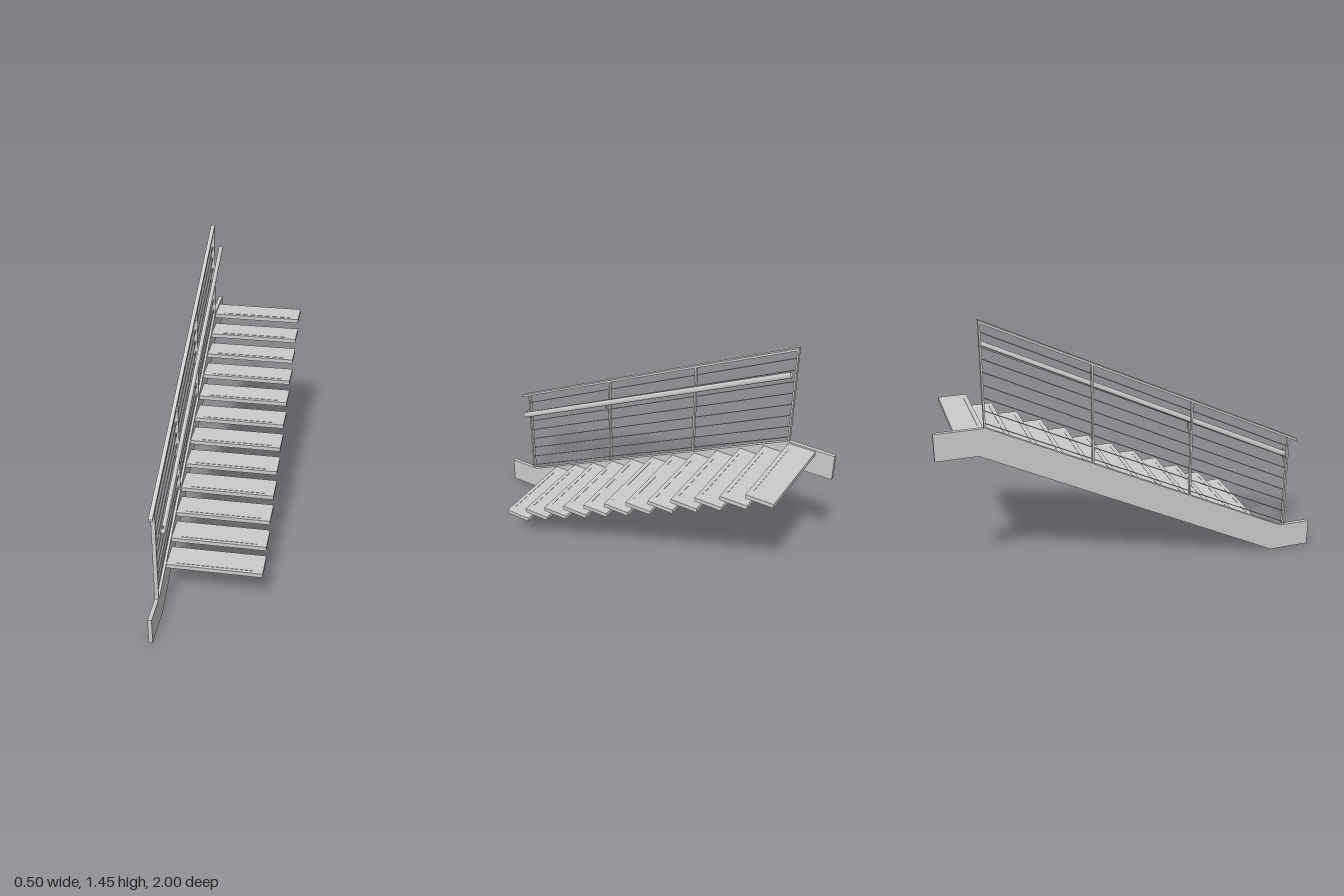
import * as THREE from 'three';

const mat = new THREE.MeshStandardMaterial({ color: 0xcccccc });
const WALL_X = -0.24; // centre plane of stringer and railing

export function createModel() {
  const model = new THREE.Group();
  model.name = 'staircase';

  function add(name, geometry, x, y, z) {
    const mesh = new THREE.Mesh(geometry, mat);
    mesh.name = name;
    mesh.position.set(x, y, z);
    model.add(mesh);
    return mesh;
  }

  // Extrude a (z, y) side profile along x, centred on the given x
  function sidePanel(name, points, x, width) {
    const shape = new THREE.Shape(points.map(([z, y]) => new THREE.Vector2(-z, y)));
    const geo = new THREE.ExtrudeGeometry(shape, { depth: width, bevelEnabled: false });
    geo.translate(0, 0, -width / 2).rotateY(Math.PI / 2);
    return add(name, geo, x, 0, 0);
  }

  // Rod between two points; sx widens or narrows it sideways
  function rod(name, a, b, radius, sides, sx = 1) {
    const from = new THREE.Vector3(...a), to = new THREE.Vector3(...b);
    const dir = to.clone().sub(from);
    const geo = new THREE.CylinderGeometry(radius, radius, dir.length(), sides);
    geo.scale(sx, 1, 1);
    const mid = from.add(to).multiplyScalar(0.5);
    const mesh = add(name, geo, mid.x, mid.y, mid.z);
    mesh.quaternion.setFromUnitVectors(new THREE.Vector3(0, 1, 0), dir.normalize());
    return mesh;
  }

  // Single side stringer with level ends
  sidePanel('stringer', [
    [1, 0], [0.78, 0], [-0.79, 0.78], [-1, 0.78],
    [-1, 0.92], [-0.75, 0.92], [0.83, 0.14], [1, 0.14],
  ], WALL_X, 0.02);

  // Cantilevered treads, each with a thin anti-slip strip near the nosing
  for (let i = 0; i < 12; i++) {
    const y = 0.204 + i * 0.0633, z = 0.603 - i * 0.1302;
    add('tread', new THREE.BoxGeometry(0.48, 0.022, 0.143), 0.01, y, z);
    add('gripStrip', new THREE.BoxGeometry(0.38, 0.003, 0.006), 0.01, y + 0.0115, z + 0.052);
  }

  // Sloping top rail
  const railY = (z) => 0.64 + (0.893 - z) * 0.486;
  sidePanel('topRail', [
    [0.893, railY(0.893) - 0.008], [-0.76, railY(-0.76) - 0.008],
    [-0.76, railY(-0.76) + 0.005], [0.893, railY(0.893) + 0.005],
  ], WALL_X, 0.02);

  // Flat-bar posts standing on the stringer
  const stringerY = (z) => Math.min(0.92, Math.max(0.14, 0.14 + (0.83 - z) * 0.4937));
  for (const z of [0.845, 0.295, -0.225, -0.755]) {
    const bottom = stringerY(z) - 0.006, top = railY(z) - 0.002;
    add('post', new THREE.BoxGeometry(0.02, top - bottom, 0.009), WALL_X, (top + bottom) / 2, z);
  }

  // Infill cables parallel to the slope
  for (let i = 0; i < 8; i++) {
    const rise = i * 0.064;
    rod('cable', [WALL_X, 0.157 + rise, 0.845], [WALL_X, 0.943 + rise, -0.755], 0.0025, 8);
  }

  // Oval inner handrail
  rod('handrail', [-0.195, 0.54, 0.855], [-0.195, 1.32, -0.75], 0.0155, 24, 0.7);

  // Angled handrail brackets on the two lower posts
  for (const [z, y] of [[0.84, 0.5], [0.293, 0.73]]) {
    rod('handrailBracket', [-0.235, y, z], [-0.197, y + 0.046, z], 0.004, 10);
    rod('bracketStem', [-0.197, y + 0.043, z], [-0.195, y + 0.075, z], 0.004, 10);
  }

  return model;
}
